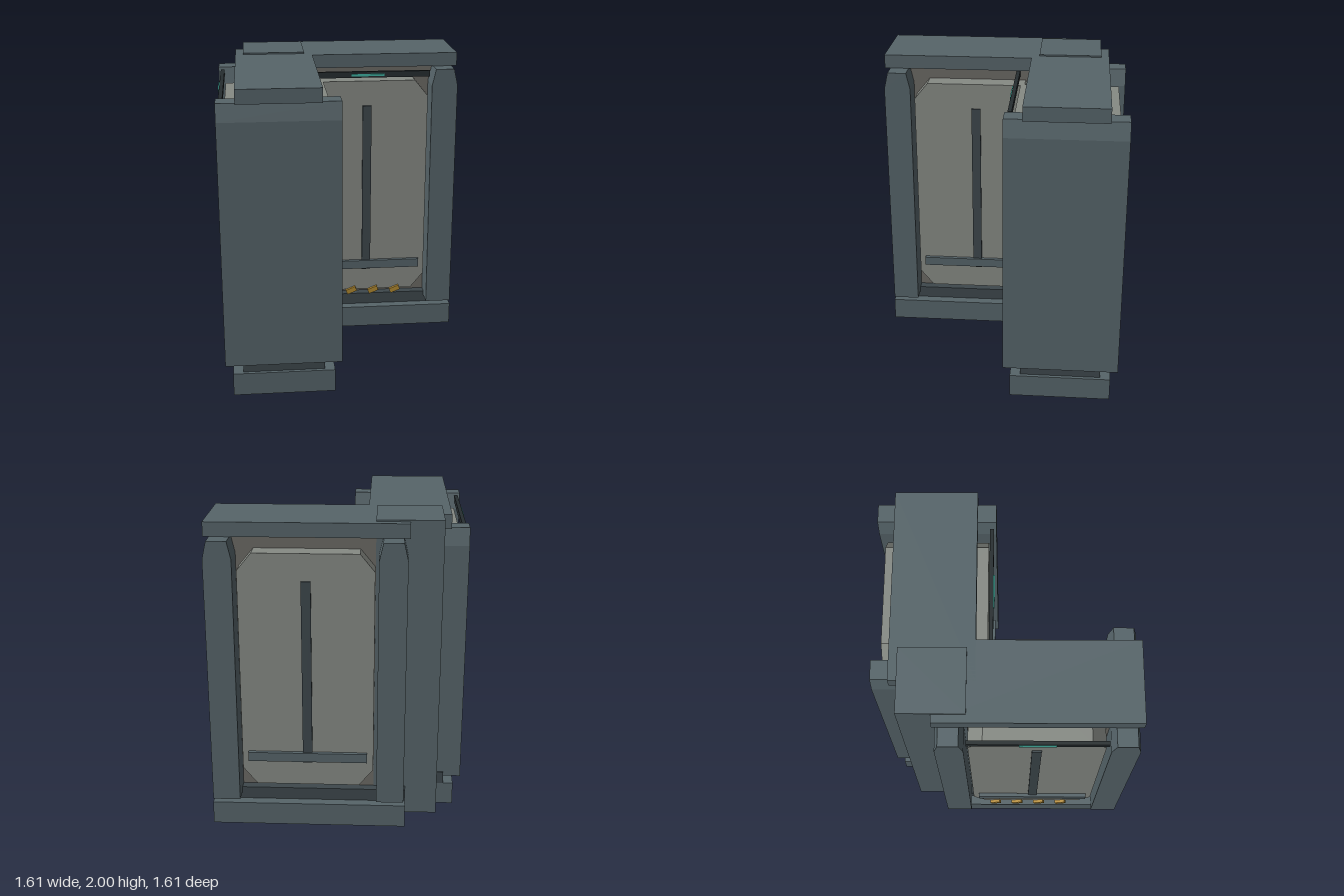
import * as THREE from 'three';

const material = (color) => new THREE.MeshStandardMaterial({ color, flatShading: true });
const slate = material(0x566469);
const panelGrey = material(0x868a84);
const coreGrey = material(0x6b6964);
const darkSlate = material(0x3d474c);
const black = material(0x262d2f);
const amber = material(0xb08830);
const teal = material(0x3fb0a0);

const AXIS = 0.437; // distance of each wing's centre line from the origin
const MID = 0.185; // middle of a wing's bay along its length

// Box given by its limits on each axis
function box(name, mat, [x0, x1], [y0, y1], [z0, z1]) {
  const mesh = new THREE.Mesh(new THREE.BoxGeometry(x1 - x0, y1 - y0, z1 - z0), mat);
  mesh.position.set((x0 + x1) / 2, (y0 + y1) / 2, (z0 + z1) / 2);
  mesh.name = name;
  return mesh;
}

// Outline in x and y, extruded evenly to both sides of z = 0
function slab(name, mat, points, depth) {
  const shape = new THREE.Shape(points.map(([x, y]) => new THREE.Vector2(x, y)));
  const geometry = new THREE.ExtrudeGeometry(shape, { depth, bevelEnabled: false });
  geometry.translate(0, 0, -depth / 2);
  const mesh = new THREE.Mesh(geometry, mat);
  mesh.name = name;
  return mesh;
}

// Upright with its two top edges chamfered
function pillar(x0, x1) {
  const c = 0.025;
  return slab('pillar', slate, [
    [x0, 0.2], [x1, 0.2], [x1, 1.79], [x1 - c, 1.9], [x0 + c, 1.9], [x0, 1.79],
  ], 0.745);
}

// One straight wing running along x, its outer face towards +z
function createWing(name) {
  const wing = new THREE.Group();
  wing.name = name;

  // Stacked base, core and cap
  wing.add(
    box('base', slate, [-AXIS, 0.805], [0, 0.15], [-0.325, 0.325]),
    box('plinth', darkSlate, [-AXIS, 0.782], [0.15, 0.23], [-0.26, 0.26]),
    box('core', coreGrey, [-AXIS, 0.7], [0.23, 1.9], [-0.2, 0.2]),
    box('cap', slate, [-AXIS, 0.805], [1.9, 1.99], [-0.257, 0.257]),
    pillar(0.62, 0.793),
    pillar(-0.425, -0.252),
  );

  // Wall panel with cut corners, showing on both faces
  const [l, r, b, t] = [MID - 0.415, MID + 0.415, 0.295, 1.82];
  const [cx, cy] = [0.09, 0.11];
  wing.add(slab('wallPanel', panelGrey, [
    [l + cx, b], [r - cx, b], [r, b + cy], [r, t - cy],
    [r - cx, t], [l + cx, t], [l, t - cy], [l, b + cy],
  ], 0.65));

  // Centre rib and rail on each face
  for (const side of [-1, 1]) {
    const rib = box('rib', darkSlate, [MID - 0.03, MID + 0.03], [0.455, 1.65], [-0.01, 0.01]);
    rib.position.z = side * 0.328;
    const rail = box('rail', slate, [MID - 0.375, MID + 0.375], [0.465, 0.525], [-0.0125, 0.0125]);
    rail.position.z = side * 0.34;
    wing.add(rib, rail);
  }

  // Header strip with its lamp
  wing.add(
    box('headerStrip', black, [MID - 0.42, MID + 0.42], [1.85, 1.89], [0.332, 0.357]),
    box('lamp', teal, [0.075, 0.295], [1.861, 1.876], [0.35, 0.365]),
  );

  // Row of tilted markers along the foot
  for (let i = 0; i < 4; i++) {
    const marker = box('marker', amber, [-0.036, 0.036], [-0.017, 0.017], [-0.015, 0.015]);
    marker.position.set(-0.075 + i * 0.156, 0.292, 0.33);
    marker.rotation.z = 0.4;
    wing.add(marker);
  }
  return wing;
}

export function createModel() {
  const model = new THREE.Group();
  model.name = 'cornerWall';

  const backWing = createWing('backWing');
  backWing.position.z = -AXIS;

  // Same wing turned to run along +z, outer face towards -x
  const sideWing = createWing('sideWing');
  sideWing.rotation.y = -Math.PI / 2;
  sideWing.position.x = -AXIS;

  // Square post joining the wings
  const post = box('cornerPost', slate, [-0.642, -0.232], [0.04, 2], [-0.642, -0.232]);

  model.add(backWing, sideWing, post);
  return model;
}
